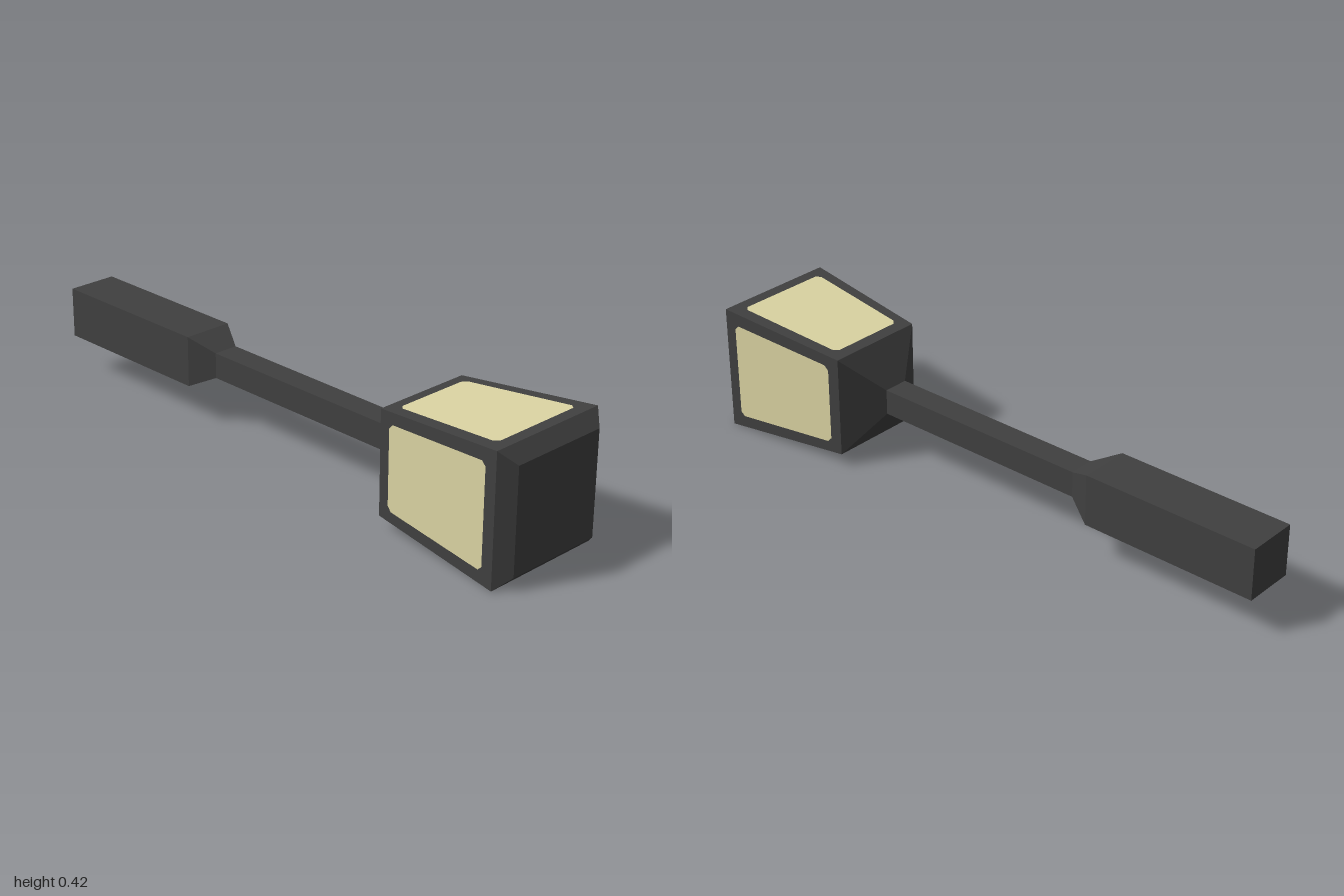
import * as THREE from 'three';

const CENTER_Y = 0.2083;

// Square-section solid along x from [x, half width] pairs, faceted and capped
function squareBar(sections) {
  const first = sections[0], last = sections[sections.length - 1];
  const points = [[first[0], 0], ...sections, [last[0], 0]]
    .map(([x, half]) => new THREE.Vector2(half * Math.SQRT2, x));
  const geometry = new THREE.LatheGeometry(points, 4, Math.PI / 4)
    .rotateZ(-Math.PI / 2).toNonIndexed();
  geometry.computeVertexNormals();
  return geometry;
}

// Tapered panel with clipped corners, laid just above the sloping lantern side
function panelGeometry() {
  const x0 = 0.538, x1 = 0.92, h0 = 0.134, h1 = 0.164, c = 0.014;
  const shape = new THREE.Shape([
    [x0 + c, -h0 - 0.001], [x1 - c, -h1 + 0.001], [x1, -h1 + c], [x1, h1 - c],
    [x1 - c, h1 - 0.001], [x0 + c, h0 + 0.001], [x0, h0 - c], [x0, -h0 + c],
  ].map(([x, y]) => new THREE.Vector2(x, y)));
  const geometry = new THREE.ShapeGeometry(shape);
  const pos = geometry.attributes.position;
  for (let i = 0; i < pos.count; i++) {
    pos.setZ(i, 0.1667 + (pos.getX(i) - 0.5) / 11 + 0.002);
  }
  geometry.computeVertexNormals();
  return geometry;
}

export function createModel() {
  const dark = new THREE.MeshStandardMaterial({ name: 'dark metal', color: 0x404040 });
  const cream = new THREE.MeshStandardMaterial({ name: 'cream panel', color: 0xdcd5a3 });

  const model = new THREE.Group();
  model.name = 'lanternStaff';
  const add = (name, geometry, material) => {
    const mesh = new THREE.Mesh(geometry, material);
    mesh.name = name;
    mesh.position.y = CENTER_Y;
    model.add(mesh);
    return mesh;
  };

  // Grip, narrowing into the shaft
  add('grip', squareBar([[-1, 0.0833], [-0.4167, 0.0833], [-0.3333, 0.0417]]), dark);
  add('shaft', squareBar([[-0.3333, 0.0417], [0.4167, 0.0417]]), dark);

  // Flaring head with a bevelled end
  add('head', squareBar([[0.4167, 0.0417], [0.5, 0.1667], [0.9583, 0.2083], [1, 0.1667]]), dark);

  // One panel on each of the four sides
  const panel = panelGeometry();
  ['front', 'bottom', 'back', 'top'].forEach((side, i) => {
    add(side + 'Panel', panel, cream).rotation.x = i * Math.PI / 2;
  });

  return model;
}
